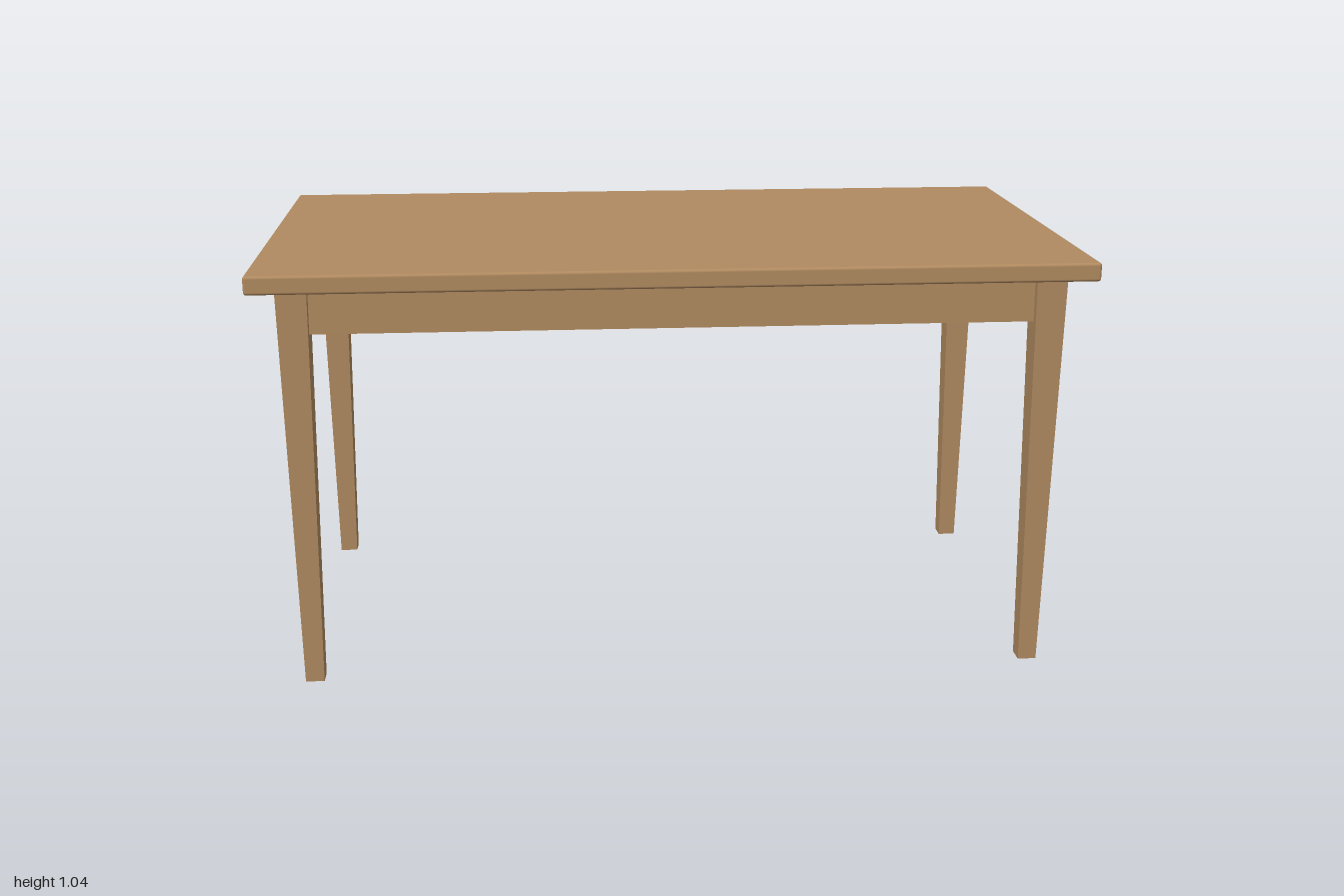
import * as THREE from 'three';
import { RoundedBoxGeometry } from 'three/addons/geometries/RoundedBoxGeometry.js';

const TOP_Y = 1.0;      // underside of the tabletop
const LEG_X = 0.901;    // leg centres
const LEG_Z = 0.45;

// Square leg that narrows evenly towards the floor
function taperedLeg(topWidth, bottomWidth, height) {
  const geo = new THREE.BoxGeometry(topWidth, height, topWidth);
  geo.translate(0, height / 2, 0);
  const pos = geo.attributes.position;
  const k = bottomWidth / topWidth;
  for (let i = 0; i < pos.count; i++) {
    if (pos.getY(i) < height / 2) {
      pos.setX(i, pos.getX(i) * k);
      pos.setZ(i, pos.getZ(i) * k);
    }
  }
  geo.computeVertexNormals();
  return geo;
}

export function createModel() {
  const table = new THREE.Group();
  table.name = 'table';
  const wood = new THREE.MeshStandardMaterial({ color: 0xb08a60 });
  wood.name = 'wood';

  function add(name, geo, x, y, z) {
    const mesh = new THREE.Mesh(geo, wood);
    mesh.name = name;
    mesh.position.set(x, y, z);
    table.add(mesh);
  }

  // Tabletop with softened edges
  add('tabletop', new RoundedBoxGeometry(2, 0.045, 1.09, 3, 0.007), 0, TOP_Y + 0.0225, 0);

  // Legs
  const leg = taperedLeg(0.074, 0.046, TOP_Y);
  for (const [side, sx] of [['Left', 1], ['Right', -1]]) {
    for (const [end, sz] of [['front', 1], ['back', -1]]) {
      add(`${end}${side}Leg`, leg, sx * LEG_X, 0, sz * LEG_Z);
    }
  }

  // Aprons between the legs, set back slightly from their outer faces
  const h = 0.113, t = 0.025, y = TOP_Y - h / 2;
  const longApron = new THREE.BoxGeometry(2 * LEG_X - 0.06, h, t);
  const shortApron = new THREE.BoxGeometry(t, h, 2 * LEG_Z - 0.06);
  add('frontApron', longApron, 0, y, LEG_Z + 0.003);
  add('backApron', longApron, 0, y, -LEG_Z - 0.003);
  add('leftApron', shortApron, LEG_X + 0.003, y, 0);
  add('rightApron', shortApron, -LEG_X - 0.003, y, 0);

  return table;
}
